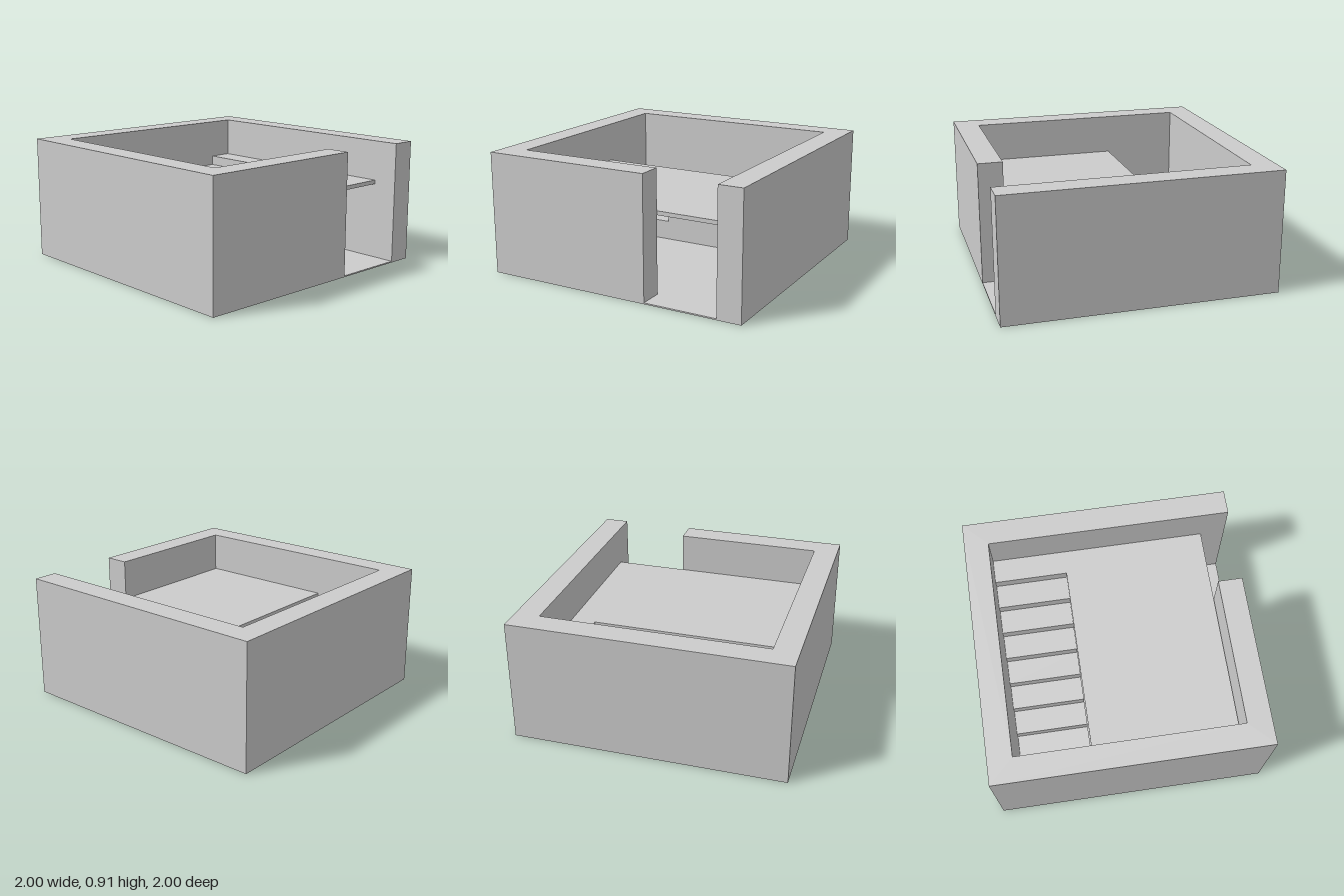
import * as THREE from 'three';

const material = new THREE.MeshStandardMaterial({ color: 0xcccccc, flatShading: true, side: THREE.DoubleSide });
const INNER = 0.82, HEIGHT = 0.91, FLOOR_TOP = 0.01;
const STAIR_EDGE = -0.27, DOOR_EDGE = -0.27;

// Removes the faces resting on y = 0, leaving a hollow shell open underneath
function openBottom(geometry) {
  const source = geometry.index ? geometry.toNonIndexed() : geometry;
  const p = source.attributes.position;
  const kept = [];
  for (let i = 0; i < p.count; i += 3) {
    if ([0, 1, 2].every(k => Math.abs(p.getY(i + k)) < 1e-5)) continue;
    for (let k = 0; k < 3; k++) kept.push(p.getX(i + k), p.getY(i + k), p.getZ(i + k));
  }
  const result = new THREE.BufferGeometry();
  result.setAttribute('position', new THREE.Float32BufferAttribute(kept, 3));
  result.computeVertexNormals();
  return result;
}

// Extrudes a plan outline of [x, z] points upward from y0 to y1
function prism(outline, y0, y1) {
  const shape = new THREE.Shape(outline.map(([x, z]) => new THREE.Vector2(x, -z)));
  return new THREE.ExtrudeGeometry(shape, { depth: y1 - y0, bevelEnabled: false })
    .rotateX(-Math.PI / 2).translate(0, y0, 0);
}

export function createModel() {
  const model = new THREE.Group();
  const add = (name, geometry, parent = model) => {
    const mesh = new THREE.Mesh(geometry, material);
    mesh.name = name;
    parent.add(mesh);
  };

  // Thick outer walls with a full-height doorway at the back of the left side
  add('walls', openBottom(prism([
    [-1, 1], [1, 1], [1, DOOR_EDGE], [INNER, DOOR_EDGE], [INNER, INNER], [-INNER, INNER],
    [-INNER, -INNER], [1, -INNER], [1, -1], [-1, -1],
  ], 0, HEIGHT)));

  // Thin ground floor, running out through the doorway
  add('groundFloor', prism([
    [STAIR_EDGE, INNER], [INNER, INNER], [INNER, DOOR_EDGE], [1, DOOR_EDGE],
    [1, -INNER], [STAIR_EDGE, -INNER],
  ], 0, FLOOR_TOP));

  // Stairs of hollow full-height blocks; the first two are level, the last is the landing
  const stairs = new THREE.Group();
  stairs.name = 'stairs';
  model.add(stairs);
  const count = 9, rise = 0.075, run = 2 * INNER / count;
  const width = INNER + STAIR_EDGE;
  for (let i = 0; i < count; i++) {
    const h = FLOOR_TOP + rise * Math.max(i, 1);
    const step = new THREE.BoxGeometry(width, h, run);
    step.translate(STAIR_EDGE - width / 2, h / 2, INNER - run * (i + 0.5));
    add(i === count - 1 ? 'landing' : 'step', openBottom(step), stairs);
  }

  // Upper floor slab, level with the landing
  add('upperFloor', prism([
    [STAIR_EDGE, INNER], [INNER - 0.005, INNER], [INNER - 0.005, -INNER], [STAIR_EDGE, -INNER],
  ], 0.58, 0.61));

  return model;
}
